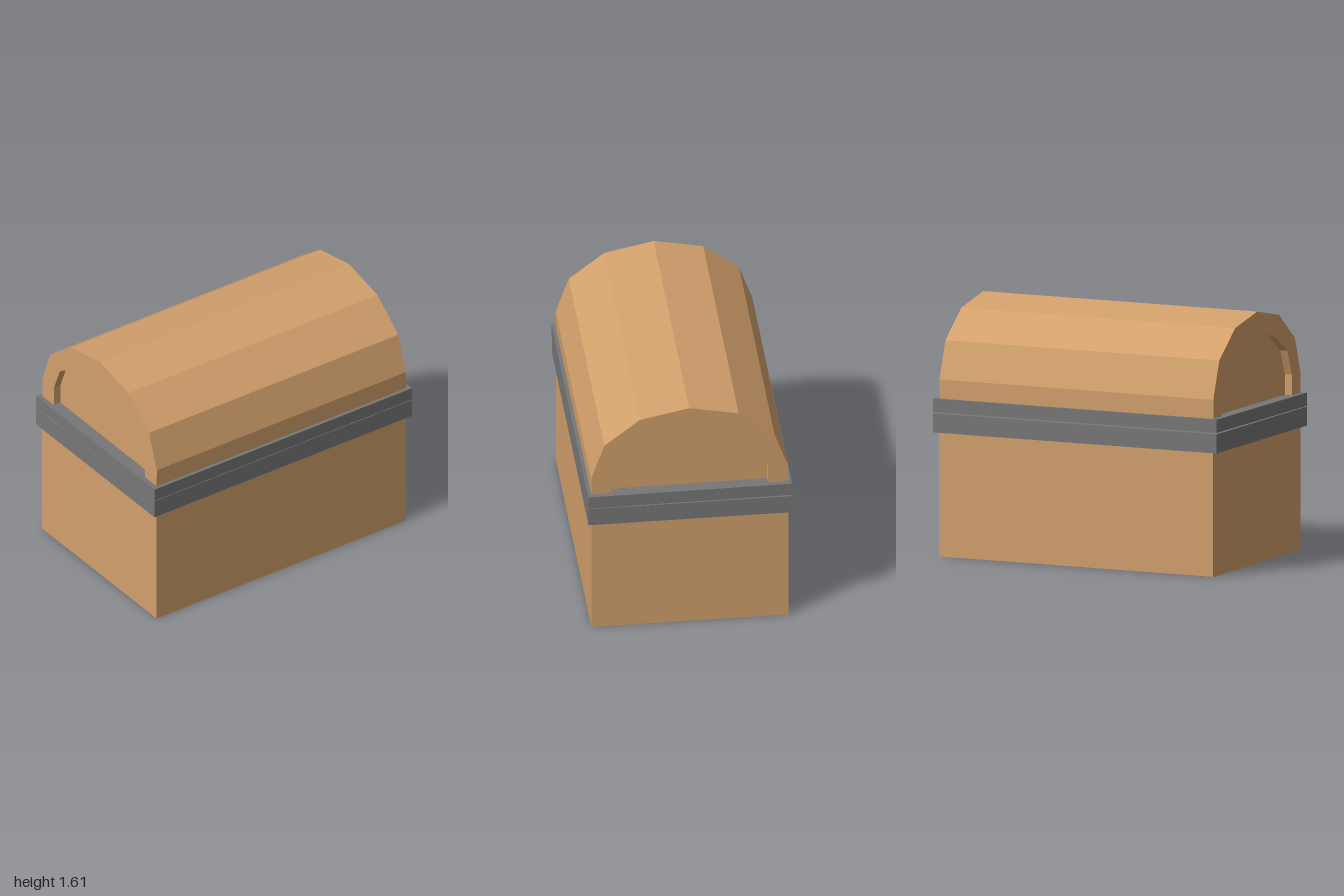
import * as THREE from 'three';

const wood = new THREE.MeshStandardMaterial({ color: 0xd2a06c, flatShading: true });
const iron = new THREE.MeshStandardMaterial({ color: 0x777777, flatShading: true });

const HALF_X = 0.967, HALF_Z = 0.628, WALL = 0.13;
const RIM_X = 1.0, RIM_Z = 0.65;

function add(parent, name, geometry, material) {
  const mesh = new THREE.Mesh(geometry, material);
  mesh.name = name;
  parent.add(mesh);
  return mesh;
}

// Rectangular frame standing between two heights
function frame(hx, hz, inX, inZ, y0, y1) {
  const rect = (x, z) => [[-x, -z], [x, -z], [x, z], [-x, z]].map(p => new THREE.Vector2(...p));
  const shape = new THREE.Shape(rect(hx, hz));
  shape.holes.push(new THREE.Path(rect(inX, inZ)));
  return new THREE.ExtrudeGeometry(shape, { depth: y1 - y0, bevelEnabled: false })
    .rotateX(-Math.PI / 2).translate(0, y0, 0);
}

// Mirror half of an arch (z, y), listed from the foot up to the crown
function arch(half) {
  return [...half, ...half.slice(0, -1).reverse().map(([z, y]) => [-z, y])];
}

// Extrude a (z, y) outline along x, centred on cx
function alongX(points, length, cx) {
  const shape = new THREE.Shape(points.map(([z, y]) => new THREE.Vector2(-z, y)));
  return new THREE.ExtrudeGeometry(shape, { depth: length, bevelEnabled: false })
    .translate(0, 0, -length / 2).rotateY(Math.PI / 2).translate(cx, 0, 0);
}

export function createModel() {
  const chest = new THREE.Group();
  chest.name = 'chest';
  const inX = HALF_X - WALL, inZ = HALF_Z - WALL;

  // Hollow body with a floor and a metal band round its mouth
  const body = new THREE.Group();
  body.name = 'body';
  chest.add(body);
  add(body, 'bodyWalls', frame(HALF_X, HALF_Z, inX, inZ, 0.1, 0.917), wood);
  add(body, 'bodyFloor', new THREE.BoxGeometry(HALF_X * 2, 0.1, HALF_Z * 2), wood).position.y = 0.05;
  add(body, 'bodyBand', frame(RIM_X, RIM_Z, inX, inZ, 0.796, 0.918), iron);

  // Lid, ajar by a hair and tipped very slightly forward
  const lid = new THREE.Group();
  lid.name = 'lid';
  lid.position.set(0, 0.925, 0.001);
  lid.rotation.x = 0.004;
  chest.add(lid);
  add(lid, 'lidBand', frame(RIM_X, RIM_Z, inX, inZ, 0, 0.085), iron);

  const outer = arch([[0.627, 0.02], [0.627, 0.207], [0.543, 0.447], [0.315, 0.625], [0, 0.689]]);
  const inner = arch([[0.5, 0.02], [0.5, 0.217], [0.435, 0.38], [0.248, 0.5], [0, 0.544]]);
  add(lid, 'lidVault', alongX([...outer, ...inner.slice().reverse()], HALF_X * 2, 0), wood);

  // Recessed end panels
  for (const side of [-1, 1]) {
    add(lid, side > 0 ? 'leftEndPanel' : 'rightEndPanel',
      alongX(inner, 0.06, side * (HALF_X - 0.08)), wood);
  }
  return chest;
}
